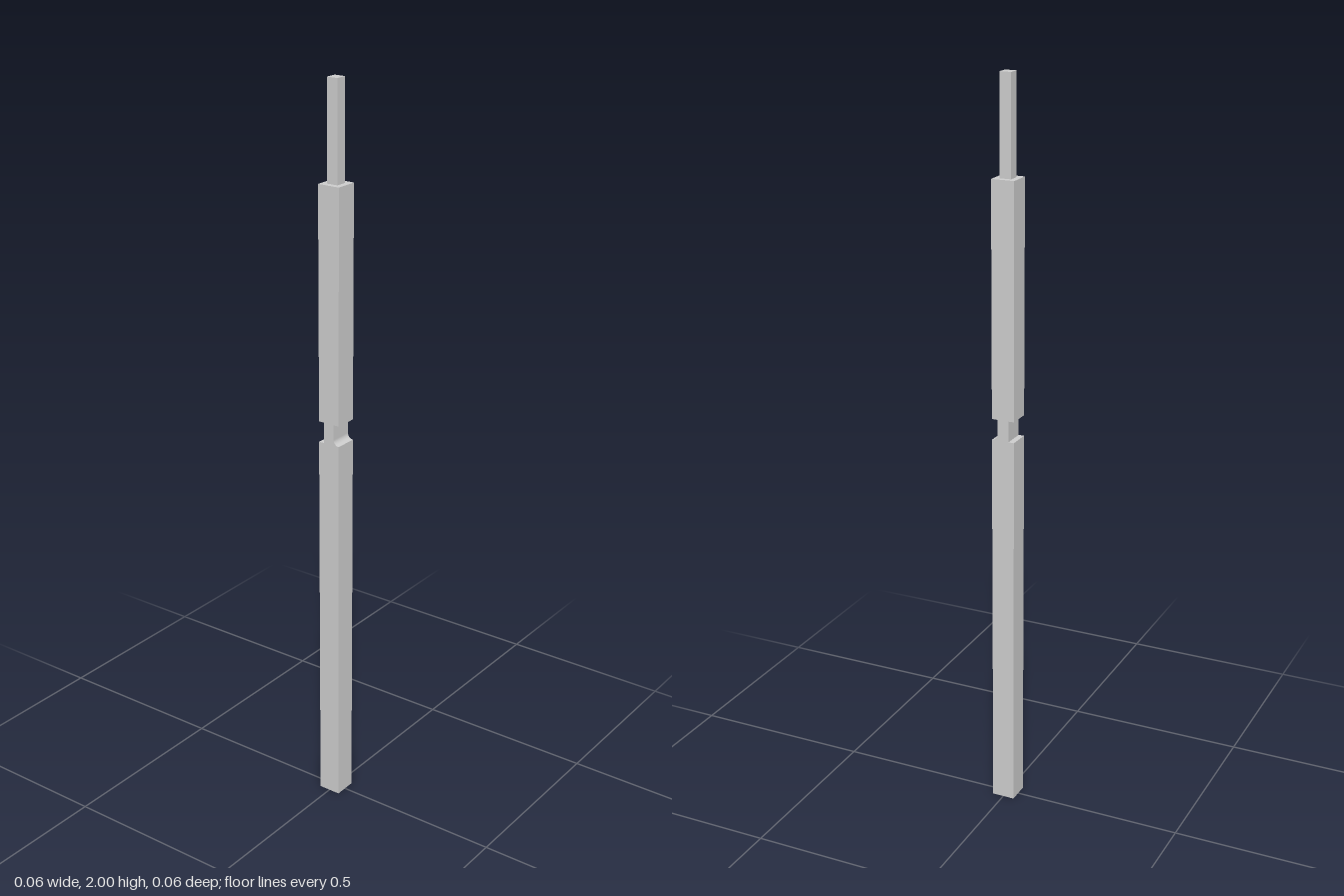
import * as THREE from 'three';

const HALF = 0.0314;      // half width of the square post
const NECK = 0.0157;      // half width of the neck and the top pin
const NOTCH_LOW = 1.06, NOTCH_HIGH = 1.117;
const SHOULDER = 1.741, TOP = 2;

export function createModel() {
  const group = new THREE.Group();
  group.name = 'notchedPost';
  const material = new THREE.MeshStandardMaterial({ color: 0xcccccc });

  // Post: one side profile with a notch on each side, the +x one with a filleted lower corner
  const fillet = HALF - NECK;
  const profile = new THREE.Shape();
  profile.moveTo(-HALF, 0);
  profile.lineTo(HALF, 0);
  profile.lineTo(HALF, NOTCH_LOW);
  profile.absarc(HALF, NOTCH_LOW + fillet, fillet, -Math.PI / 2, -Math.PI, true);
  profile.lineTo(NECK, NOTCH_HIGH);
  profile.lineTo(HALF, NOTCH_HIGH);
  profile.lineTo(HALF, SHOULDER);
  profile.lineTo(-HALF, SHOULDER);
  profile.lineTo(-HALF, NOTCH_HIGH);
  profile.lineTo(-NECK, NOTCH_HIGH);
  profile.lineTo(-NECK, NOTCH_LOW);
  profile.lineTo(-HALF, NOTCH_LOW);
  profile.closePath();
  const postGeometry = new THREE.ExtrudeGeometry(profile, {
    depth: HALF * 2, bevelEnabled: false, curveSegments: 8,
  });
  postGeometry.translate(0, 0, -HALF);
  const post = new THREE.Mesh(postGeometry, material);
  post.name = 'post';
  group.add(post);

  // Slim square pin standing on the shoulder
  const pin = new THREE.Mesh(
    new THREE.BoxGeometry(NECK * 2, TOP - SHOULDER, NECK * 2), material);
  pin.position.y = (TOP + SHOULDER) / 2;
  pin.name = 'topPin';
  group.add(pin);

  return group;
}
